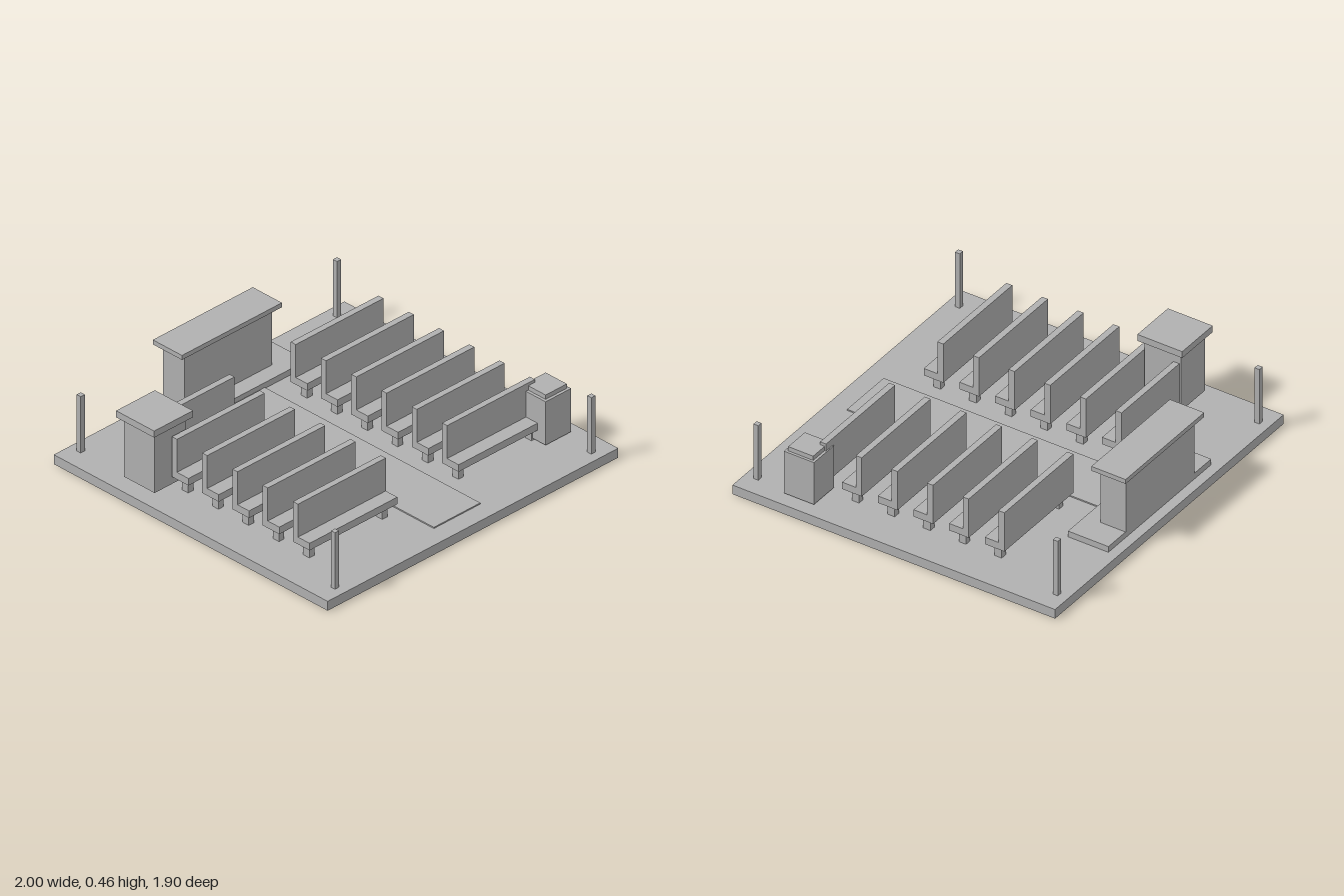
import * as THREE from 'three';

const stone = new THREE.MeshStandardMaterial({ color: 0xb0b0b0 });
stone.name = 'plain grey';

// Box given by its extents along each axis
function block(name, [x0, x1], [y0, y1], [z0, z1]) {
  const mesh = new THREE.Mesh(new THREE.BoxGeometry(x1 - x0, y1 - y0, z1 - z0), stone);
  mesh.position.set((x0 + x1) / 2, (y0 + y1) / 2, (z0 + z1) / 2);
  mesh.name = name;
  return mesh;
}

function group(name, ...parts) {
  const g = new THREE.Group();
  g.name = name;
  g.add(...parts);
  return g;
}

const FLOOR = 0.054;

// Bench with its back at z = 0, facing +z, centred on x = 0
function createBench() {
  const half = 0.302;
  const bench = group('bench',
    block('benchSeat', [-half, half], [0.127, 0.168], [0, 0.115]),
    block('benchBack', [-half, half], [0.168, 0.358], [0, 0.035]));
  for (const x of [-0.251, 0.251]) {
    bench.add(block('benchLeg', [x - 0.018, x + 0.018], [FLOOR, 0.127], [0.038, 0.08]));
  }
  return bench;
}

export function createModel() {
  const model = group('chapelInterior',
    block('floor', [-1, 1], [0, FLOOR], [-0.95, 0.95]),
    block('aisleRunner', [-0.16, 0.16], [FLOOR, 0.061], [-0.655, 0.84]));

  // Six rows of benches on each side of the aisle
  for (let row = 0; row < 6; row++) {
    for (const side of [-1, 1]) {
      const bench = createBench();
      bench.position.set(side * 0.513, 0, -0.527 + row * 0.21);
      model.add(bench);
    }
  }

  // Altar on a low platform at the back
  model.add(group('altar',
    block('altarPlatform', [-0.45, 0.45], [FLOOR, 0.088], [-0.894, -0.656]),
    block('altarBody', [-0.3, 0.3], [0.088, 0.412], [-0.897, -0.747]),
    block('altarTop', [-0.344, 0.344], [0.412, 0.438], [-0.924, -0.722])));

  // Lectern beside the first row
  model.add(group('lectern',
    block('lecternBody', [-0.928, -0.716], [0.08, 0.422], [-0.537, -0.323]),
    block('lecternTop', [-0.955, -0.688], [0.422, 0.46], [-0.563, -0.299])));

  // Font near the entrance
  model.add(group('font',
    block('fontBody', [0.754, 0.93], [0.066, 0.316], [0.517, 0.694]),
    block('fontLid', [0.77, 0.916], [0.316, 0.341], [0.531, 0.678])));

  // Corner posts
  for (const x of [-0.882, 0.882]) {
    for (const z of [-0.882, 0.882]) {
      model.add(block('cornerPost', [x - 0.014, x + 0.014], [FLOOR, 0.379], [z - 0.014, z + 0.014]));
    }
  }
  return model;
}
